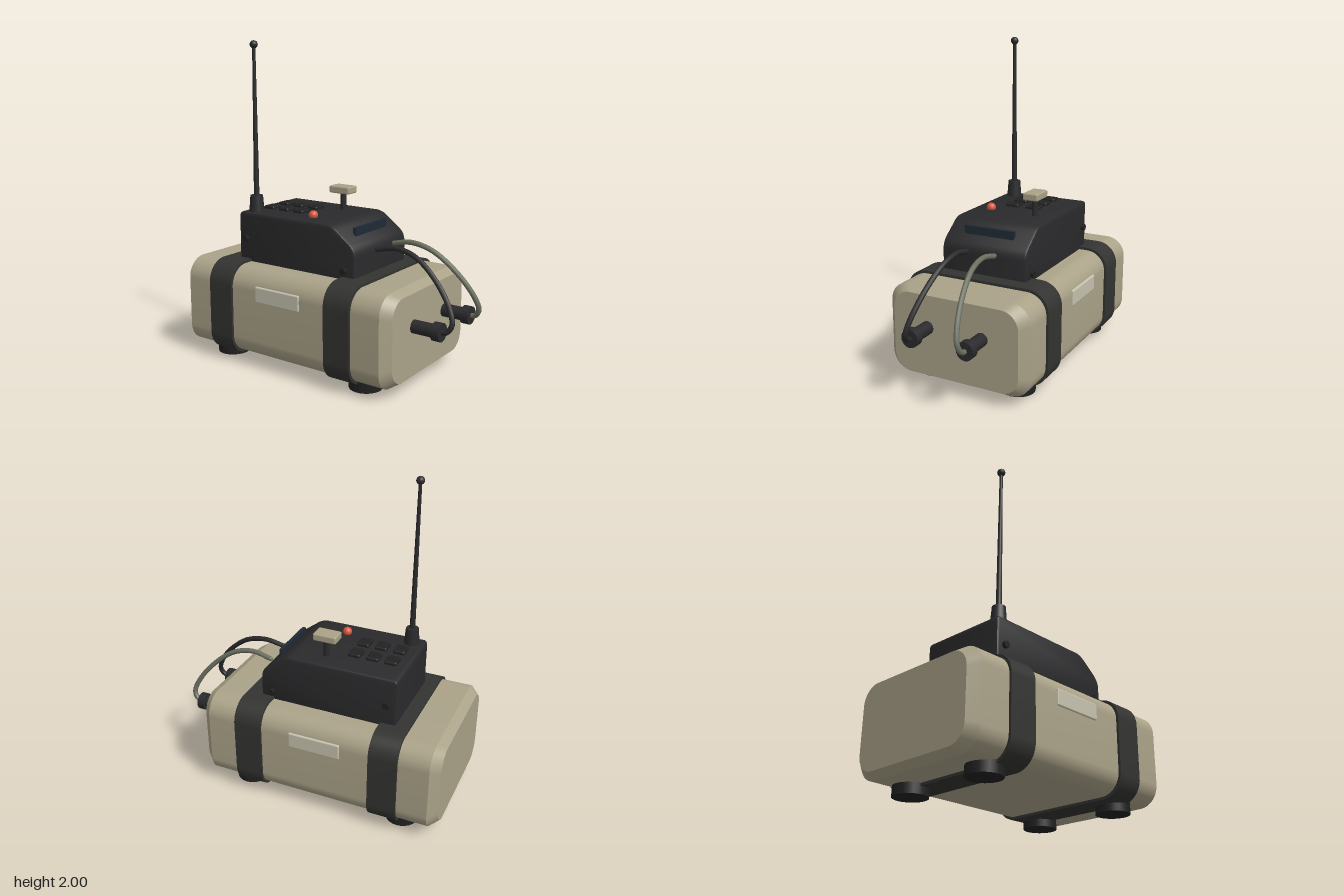
import * as THREE from 'three';
import { toCreasedNormals } from 'three/addons/utils/BufferGeometryUtils.js';
import { RoundedBoxGeometry } from 'three/addons/geometries/RoundedBoxGeometry.js';

const paint = (color, side = THREE.FrontSide) => new THREE.MeshStandardMaterial({ color, side });

// Rounded rectangle centred on the origin
function roundedRect(w, h, r) {
  const s = new THREE.Shape();
  const x = w / 2 - r, y = h / 2 - r;
  s.absarc(x, y, r, 0, Math.PI / 2);
  s.absarc(-x, y, r, Math.PI / 2, Math.PI);
  s.absarc(-x, -y, r, Math.PI, Math.PI * 1.5);
  s.absarc(x, -y, r, Math.PI * 1.5, Math.PI * 2);
  s.closePath();
  return s;
}

export function createModel() {
  const model = new THREE.Group();
  model.name = 'fieldTransmitter';

  const tan = paint(0xaaa288), black = paint(0x2a2a2c), strapGrey = paint(0x333331);
  const rubber = paint(0x202020), plateTan = paint(0xc6c2af), glass = paint(0x1f2a36);
  const keyBlack = paint(0x222223), red = paint(0xd9573a), hoseGreen = paint(0x6b6f5f);

  function add(name, geometry, material, x = 0, y = 0, z = 0, parent = model) {
    const mesh = new THREE.Mesh(geometry, material);
    mesh.name = name;
    mesh.position.set(x, y, z);
    parent.add(mesh);
    return mesh;
  }

  // Main case: rounded block whose two ends taper in
  const zBack = -0.905, zFront = 0.65, taper = 0.055;
  const stations = [zBack, zBack + taper, zFront - taper, zFront];
  const body = new THREE.ExtrudeGeometry(roundedRect(0.93, 0.565, 0.125),
    { depth: 3, steps: 3, bevelEnabled: false, curveSegments: 8 });
  const p = body.attributes.position;
  for (let i = 0; i < p.count; i++) {
    const k = Math.round(p.getZ(i));
    const s = k === 0 || k === 3 ? 0.885 : 1;
    p.setXYZ(i, p.getX(i) * s, p.getY(i) * s, stations[k]);
  }
  add('caseBody', toCreasedNormals(body, 0.45), tan, 0, 0.343, 0);

  // Straps around the case
  for (const z of [-0.66, 0.225]) {
    const strap = new THREE.ExtrudeGeometry(roundedRect(0.96, 0.597, 0.135),
      { depth: 0.18, bevelEnabled: false, curveSegments: 8 });
    add('strap', toCreasedNormals(strap, 0.45), strapGrey, 0, 0.343, z);
  }

  // Feet
  for (const x of [-0.285, 0.285]) {
    for (const z of [0.395, -0.645]) {
      add('foot', new THREE.CylinderGeometry(0.102, 0.102, 0.07, 24), rubber, x, 0.035, z);
    }
  }

  // Side plates
  for (const x of [-0.462, 0.462]) {
    add('sidePlate', new RoundedBoxGeometry(0.022, 0.1, 0.335, 2, 0.009), plateTan, x, 0.485, -0.127);
  }

  // Control console: side profile extruded across x (profile x is model z)
  const b = 0.015;
  const profile = new THREE.Shape();
  profile.moveTo(-0.575 + b, 0.6 + b);
  profile.lineTo(0.31 - b, 0.6 + b);
  profile.lineTo(0.31 - b, 0.76);
  profile.quadraticCurveTo(0.31 - b, 0.8, 0.265, 0.825);
  profile.lineTo(0.165, 0.9);
  profile.quadraticCurveTo(0.135, 0.938 - b, 0.1, 0.938 - b);
  profile.lineTo(-0.55, 0.938 - b);
  profile.quadraticCurveTo(-0.56, 0.938 - b, -0.56, 0.905);
  profile.closePath();
  const consoleGeo = new THREE.ExtrudeGeometry(profile,
    { depth: 0.57 - 2 * b, bevelThickness: b, bevelSize: b, bevelSegments: 2, curveSegments: 6 });
  consoleGeo.translate(0, 0, -0.285 + b).rotateY(-Math.PI / 2);
  add('console', toCreasedNormals(consoleGeo, 0.5), black);

  // Console screws
  for (const side of [-1, 1]) {
    for (const [y, z] of [[0.77, -0.515], [0.675, 0.237]]) {
      add('screw', new THREE.CylinderGeometry(0.021, 0.021, 0.04, 14), rubber, side * 0.285, y, z)
        .rotation.z = Math.PI / 2;
    }
  }

  // Display window
  add('display', new THREE.BoxGeometry(0.335, 0.07, 0.022), glass, 0, 0.878, 0.229);

  // Keypad
  for (const x of [-0.076, 0.069]) {
    for (const z of [-0.468, -0.352, -0.235]) {
      add('key', new RoundedBoxGeometry(0.092, 0.03, 0.077, 2, 0.01), keyBlack, x, 0.943, z);
    }
  }

  // Indicator lamp
  add('indicatorLamp', new THREE.SphereGeometry(0.029, 20, 14), red, -0.16, 0.952, -0.08);

  // Control lever
  add('leverStem', new THREE.CylinderGeometry(0.018, 0.02, 0.13, 14), black, 0.152, 0.99, -0.075);
  add('leverCap', new RoundedBoxGeometry(0.1, 0.047, 0.15, 2, 0.01), tan, 0.152, 1.068, -0.078);

  // Antenna
  const antenna = new THREE.Group();
  antenna.name = 'antenna';
  antenna.position.set(-0.21, 0, -0.492);
  model.add(antenna);
  add('antennaBase', new THREE.CylinderGeometry(0.04, 0.05, 0.12, 20), black, 0, 0.98, 0, antenna);
  add('antennaRod', new THREE.CylinderGeometry(0.01, 0.018, 0.95, 12), black, 0, 1.5, 0, antenna);
  add('antennaTip', new THREE.SphereGeometry(0.025, 16, 12), black, 0, 1.975, 0, antenna);

  // Front sockets and the cables looping up to the console: [y, z] along each cable
  const cablePath = [[0.785, 0.345], [0.808, 0.47], [0.775, 0.61], [0.665, 0.755],
    [0.53, 0.86], [0.445, 0.888], [0.4, 0.86], [0.395, 0.82]];
  for (const side of [-1, 1]) {
    const x = side * 0.18;
    add('socket', new THREE.CylinderGeometry(0.04, 0.04, 0.2, 20), black, x, 0.395, 0.73)
      .rotation.x = Math.PI / 2;
    add('socketCollar', new THREE.CylinderGeometry(0.055, 0.055, 0.05, 20), black, x, 0.395, 0.81)
      .rotation.x = Math.PI / 2;
    const points = cablePath.map(([y, z]) =>
      new THREE.Vector3(side * (0.18 - 0.088 * (y - 0.395) / 0.4), y, z));
    add('cable', new THREE.TubeGeometry(new THREE.CatmullRomCurve3(points), 48, 0.016, 10),
      side < 0 ? paint(0x2a2a2c, THREE.DoubleSide) : paint(hoseGreen.color, THREE.DoubleSide));
    // Closed cable end
    add('cableEnd', new THREE.SphereGeometry(0.016, 10, 8), side < 0 ? black : hoseGreen,
      points[0].x, points[0].y, points[0].z);
  }

  return model;
}
